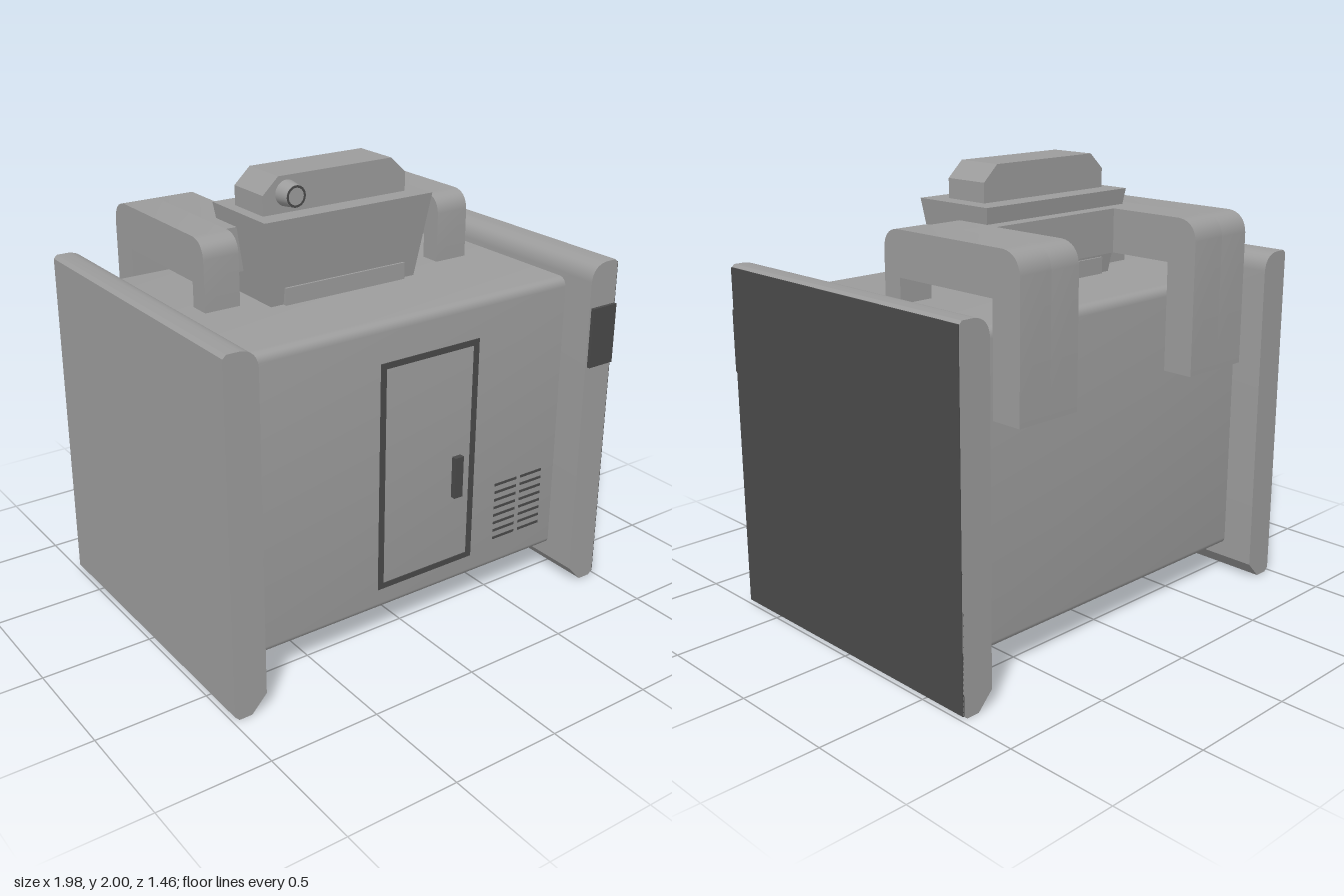
import * as THREE from 'three';
import { toCreasedNormals } from 'three/addons/utils/BufferGeometryUtils.js';

const grey = new THREE.MeshStandardMaterial({ color: 0x9c9c9c });
grey.name = 'casing grey';
const dark = new THREE.MeshStandardMaterial({ color: 0x4a4a4a });
dark.name = 'dark grey';

export function createModel() {
  const model = new THREE.Group();
  model.name = 'generatorUnit';

  const add = (name, geometry, material = grey) => {
    const mesh = new THREE.Mesh(geometry, material);
    mesh.name = name;
    model.add(mesh);
    return mesh;
  };

  // Box given by its limits on each axis
  const box = (name, [x0, x1], [y0, y1], [z0, z1], material) => {
    const g = new THREE.BoxGeometry(x1 - x0, y1 - y0, z1 - z0);
    g.translate((x0 + x1) / 2, (y0 + y1) / 2, (z0 + z1) / 2);
    return add(name, g, material);
  };

  // Polygon whose corners [x, y, radius] may be rounded
  const outline = (points) => {
    const shape = new THREE.Shape();
    const n = points.length;
    points.forEach(([x, y, r = 0], i) => {
      const p = new THREE.Vector2(x, y);
      const towards = (q) => new THREE.Vector2(q[0], q[1]).sub(p).normalize().multiplyScalar(r).add(p);
      const a = towards(points[(i + n - 1) % n]);
      const b = towards(points[(i + 1) % n]);
      if (i === 0) shape.moveTo(a.x, a.y);
      else shape.lineTo(a.x, a.y);
      if (r) shape.quadraticCurveTo(x + (a.x + b.x - 2 * x) * 0.085, y + (a.y + b.y - 2 * y) * 0.085, b.x, b.y);
    });
    shape.closePath();
    return shape;
  };

  const extrude = (shape, depth) => toCreasedNormals(
    new THREE.ExtrudeGeometry(shape, { depth, bevelEnabled: false, curveSegments: 8 }), 0.6);

  // Extrudes a [z, y, radius] profile across x
  const extrudeX = (points, x0, x1) => {
    const g = extrude(outline(points.map(([z, y, r]) => [-z, y, r])), x1 - x0);
    return g.rotateY(Math.PI / 2).translate(x0, 0, 0);
  };

  // Main housing with softened long edges
  add('housing', extrudeX([
    [-0.58, 0.14, 0.03], [0.56, 0.14, 0.03], [0.56, 1.47, 0.04], [-0.58, 1.47, 0.04],
  ], -0.85, 0.85));

  // End panels, rounded above and chamfered below on the inner side
  for (const s of [-1, 1]) {
    const points = [
      [0.91, 0], [0.97, 0], [0.99, 0.02], [0.99, 1.555], [0.975, 1.57],
      [0.84, 1.57, 0.08], [0.84, 0.075],
    ].map(([x, y, r]) => [s * x, y, r]);
    const g = extrude(outline(points), 1.445).translate(0, 0, -0.73);
    add(s > 0 ? 'leftEndPanel' : 'rightEndPanel', g);
  }
  box('leftPanelFacing', [0.985, 0.993], [0.015, 1.558], [-0.73, 0.714], dark);
  box('edgePlate', [0.85, 0.988], [1.095, 1.37], [0.7, 0.73], dark);

  // Door frame and handle
  const frame = outline([[-0.17, 0.24], [0.35, 0.24], [0.35, 1.295], [-0.17, 1.295]]);
  frame.holes.push(outline([[-0.142, 0.266], [-0.142, 1.268], [0.322, 1.268], [0.322, 0.266]]));
  add('doorFrame', extrude(frame, 0.006).translate(0, 0, 0.558), dark);
  box('doorHandle', [0.225, 0.27], [0.575, 0.77], [0.55, 0.585], dark);

  // Two columns of vent slits
  for (const x of [0.482, 0.635]) {
    for (let i = 0; i < 8; i++) {
      const y = 0.285 + i * 0.0388;
      box('ventSlit', [x, x + 0.128], [y - 0.006, y + 0.006], [0.557, 0.563], dark);
    }
  }

  // Arched ducts: a full arch outside, the back half continued inward
  const back = [[-0.725, 1.775, 0.09], [-0.725, 1.1], [-0.58, 1.1], [-0.58, 1.58]];
  const arch = [...back, [-0.04, 1.58], [-0.04, 1.46], [0.055, 1.46], [0.055, 1.775, 0.08]];
  const hook = [...back, [-0.04, 1.58], [-0.04, 1.775]];
  add('rightDuctArch', extrudeX(arch, -0.685, -0.52));
  add('rightDuctInner', extrudeX(hook, -0.52, -0.34));
  add('leftDuctArch', extrudeX(arch, 0.52, 0.685));
  add('leftDuctInner', extrudeX(hook, 0.37, 0.52));
  box('ductBridge', [-0.34, 0.37], [1.58, 1.775], [-0.27, -0.04]);

  // Hopper: a box that narrows towards its base
  const hopper = new THREE.BoxGeometry(0.85, 0.385, 0.41);
  const p = hopper.attributes.position;
  for (let i = 0; i < p.count; i++) {
    if (p.getY(i) < 0) p.setXYZ(i, p.getX(i) * 0.87, p.getY(i), p.getZ(i) * 0.75);
  }
  hopper.computeVertexNormals();
  add('hopper', hopper.translate(-0.055, 1.6525, -0.01));
  box('hopperFoot', [-0.365, 0.25], [1.46, 1.545], [-0.185, 0.165]);

  // Chamfered cap
  add('cap', extrude(outline([
    [-0.43, 1.84], [0.29, 1.84], [0.29, 1.93], [0.215, 2], [-0.355, 2], [-0.43, 1.93],
  ]), 0.218).translate(0, 0, -0.114));

  // Tapered nozzle with a dark rim
  const nozzle = new THREE.CylinderGeometry(0.046, 0.056, 0.075, 32).rotateX(Math.PI / 2);
  add('nozzle', nozzle.translate(-0.315, 1.926, 0.135));
  add('nozzleRim', new THREE.RingGeometry(0.036, 0.046, 32).translate(-0.315, 1.926, 0.1745), dark);

  return model;
}
